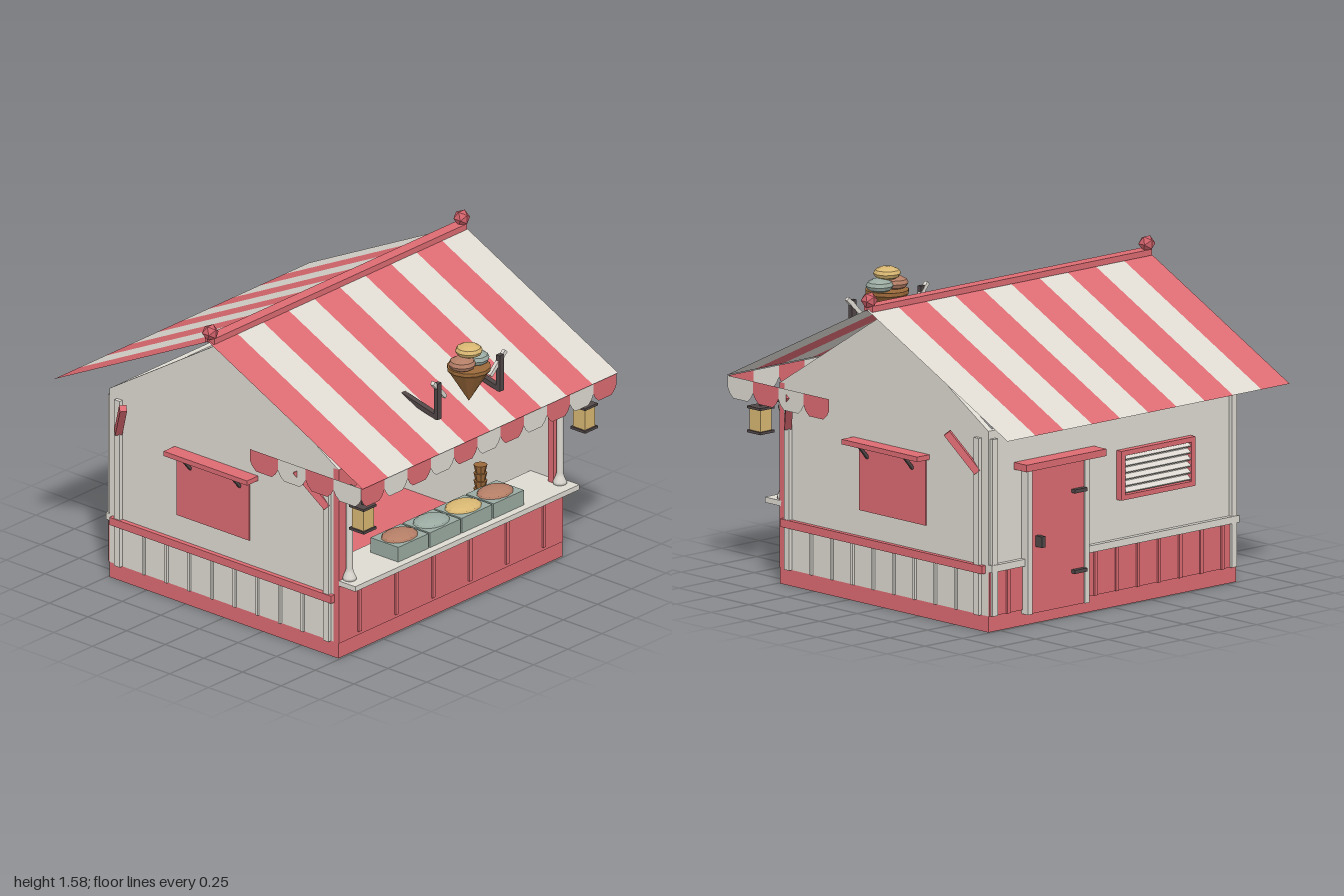
import * as THREE from 'three';

const mat = (name, color, extra = {}) => {
  const m = new THREE.MeshStandardMaterial({ color, ...extra });
  m.name = name;
  return m;
};

export function createModel() {
  const root = new THREE.Group();
  root.name = 'iceCreamStall';
  const flat = { flatShading: true };
  const red = mat('strawberryRed', 0xdc6b72, { side: THREE.DoubleSide });
  const cream = mat('cream', 0xdedad2, { side: THREE.DoubleSide });
  const wood = mat('shelfWood', 0xb07a42, flat);
  const waffle = mat('waffle', 0x9c6a3a, flat);
  const brown = mat('chocolate', 0xb47e66, flat);
  const mint = mat('mint', 0x9aaaa1, flat);
  const yellow = mat('vanilla', 0xd8b772, flat);
  const dark = mat('darkMetal', 0x514747, flat);

  const add = (name, geo, m, x = 0, y = 0, z = 0, parent = root) => {
    const mesh = new THREE.Mesh(geo, m);
    mesh.name = name;
    mesh.position.set(x, y, z);
    parent.add(mesh);
    return mesh;
  };
  // box given by its extents
  const box = (name, m, x0, x1, y0, y1, z0, z1) =>
    add(name, new THREE.BoxGeometry(x1 - x0, y1 - y0, z1 - z0), m, (x0 + x1) / 2, (y0 + y1) / 2, (z0 + z1) / 2);
  // the same box on both sides of x = 0
  const pair = (name, m, x0, x1, ...r) => {
    box(name, m, x0, x1, ...r);
    box(name, m, -x1, -x0, ...r);
  };
  // square bar between two points
  const bar = (name, m, a, b, w, d = w) => {
    const p = new THREE.Vector3(...a), q = new THREE.Vector3(...b);
    const mesh = add(name, new THREE.BoxGeometry(w, d, p.distanceTo(q)), m);
    mesh.position.copy(p).lerp(q, 0.5);
    mesh.lookAt(q);
    return mesh;
  };
  const lathe = (pts, n) => new THREE.LatheGeometry(pts.map(p => new THREE.Vector2(...p)), n);

  // floor and walls
  box('base', red, -0.82, 0.82, 0, 0.08, -0.74, 0.74);
  pair('sideWall', cream, 0.79, 0.82, 0.08, 1, -0.74, 0.71);
  box('backWall', cream, -0.79, 0.79, 0.08, 1, -0.74, -0.71);
  box('frontPanel', red, -0.82, 0.82, 0.08, 0.38, 0.71, 0.745);
  for (let i = -2.5; i <= 2.5; i++)
    box('frontBatten', red, i * 0.27 - 0.01, i * 0.27 + 0.01, 0.1, 0.37, 0.745, 0.755);

  // arched red frame around the serving hatch
  const frame = new THREE.Shape([[-0.82, 0.38], [0.82, 0.38], [0.82, 1], [-0.82, 1]].map(p => new THREE.Vector2(...p)));
  const hole = new THREE.Path();
  hole.moveTo(-0.75, 0.4);
  hole.lineTo(-0.75, 0.74);
  hole.quadraticCurveTo(-0.74, 0.93, -0.5, 0.96);
  hole.lineTo(0.5, 0.96);
  hole.quadraticCurveTo(0.74, 0.93, 0.75, 0.74);
  hole.lineTo(0.75, 0.4);
  frame.holes.push(hole);
  add('hatchFrame', new THREE.ExtrudeGeometry(frame, { depth: 0.035, bevelEnabled: false, curveSegments: 8 }), red, 0, 0, 0.71);

  // gable ends
  const gable = new THREE.Shape([[-0.74, 0], [0.74, 0], [0, 0.46]].map(p => new THREE.Vector2(...p)));
  for (const x of [-0.82, 0.79])
    add('gable', new THREE.ExtrudeGeometry(gable, { depth: 0.03, bevelEnabled: false }), cream, x, 1, 0).rotation.y = Math.PI / 2;

  // striped roof, front and back slopes
  const W = 0.935, stripe = W / 5, slopeLen = Math.hypot(1, 0.49);
  for (let i = 0; i < 10; i++)
    for (const s of [1, -1]) {
      const g = new THREE.PlaneGeometry(stripe, slopeLen);
      g.rotateX(-Math.PI / 2 + s * Math.atan(0.49));
      add('roofStripe', g, i % 2 ? cream : red, -W + (i + 0.5) * stripe, 1.255, s * 0.5);
    }
  box('ridge', red, -0.925, 0.925, 1.49, 1.52, -0.03, 0.03);
  const ballRed = mat('finialRed', 0xd0616a, flat);
  for (const x of [-0.92, 0.92])
    add('finial', new THREE.IcosahedronGeometry(0.042, 0), ballRed, x, 1.545, 0);

  // scalloped valance along the front and part of each side
  const scallop = w => new THREE.ShapeGeometry(new THREE.Shape([
    [-w / 2, 0], [-w / 2, -0.06], [-w * 0.42, -0.085], [-w * 0.28, -0.107], [w * 0.28, -0.107],
    [w * 0.42, -0.085], [w / 2, -0.06], [w / 2, 0]].map(p => new THREE.Vector2(...p))));
  for (let i = -5; i <= 5; i++)
    add('valance', scallop(0.17), i % 2 ? red : cream, i * 0.17, 1.01, 0.99).material = i % 2 ? red : cream;
  root.children.filter(c => c.name === 'valance').forEach((c, i) => { c.material = i % 2 ? cream : red; });
  for (const s of [1, -1])
    for (let i = 0; i < 4; i++)
      add('sideValance', scallop(0.18), i % 2 ? red : cream, s * W, 1.01, 0.9 - i * 0.18).rotation.y = s * Math.PI / 2;

  for (const s of [1, -1]) {
    // side panelling
    const side = (name, m, d, ...r) => s > 0 ? box(name, m, 0.82, 0.82 + d, ...r) : box(name, m, -0.82 - d, -0.82, ...r);
    side('sideRail', red, 0.025, 0.29, 0.33, -0.72, 0.715);
    for (let i = -3.5; i <= 3.5; i++) side('sideBatten', cream, 0.012, 0.08, 0.29, i * 0.147 - 0.007, i * 0.147 + 0.007);
    for (const z of [-0.675, 0.675]) {
      side('cornerPost', cream, 0.02, 0.08, z < 0 ? 0.96 : 0.93, z - 0.018, z + 0.018);
      bar('eaveBrace', red, [s * 0.83, 0.79, z], [s * 0.925, 0.98, Math.sign(z) * 0.56], 0.035);
    }
    // side window with its hood
    side('sideShutter', red, 0.008, 0.46, 0.79, -0.3, 0.17);
    side('windowHood', red, 0.08, 0.79, 0.815, -0.32, 0.22);
    for (const z of [0.11, -0.21])
      bar('hoodBracket', dark, [s * 0.828, 0.73, z], [s * 0.88, 0.79, z], 0.014);

    // turned column on the counter
    add('column', lathe([[0, 0.41], [0.034, 0.41], [0.034, 0.425], [0.022, 0.45], [0.017, 0.47], [0.017, 0.83],
      [0.028, 0.86], [0.03, 0.9], [0, 0.9]], 10), cream, s * 0.77, 0, 0.768);

    // hanging lantern
    bar('lanternArm', dark, [s * 0.81, 0.905, 0.745], [s * 0.81, 0.905, 0.9], 0.014);
    bar('lanternHanger', dark, [s * 0.81, 0.855, 0.89], [s * 0.81, 0.905, 0.89], 0.01);
    const lx = s * 0.81;
    box('lanternGlass', yellow, lx - 0.038, lx + 0.038, 0.738, 0.845, 0.852, 0.928);
    box('lanternBase', dark, lx - 0.047, lx + 0.047, 0.725, 0.738, 0.843, 0.937);
    box('lanternCap', dark, lx - 0.047, lx + 0.047, 0.845, 0.857, 0.843, 0.937);

    // sign supports
    box('signPost', dark, s * 0.228 - 0.015, s * 0.228 + 0.015, 1.11, 1.3, 0.848, 0.872);
    bar('signArm', dark, [s * 0.228, 1.12, 0.865], [s * 0.228, 1.2, 0.535], 0.03, 0.025);
    bar('signStay', cream, [s * 0.265, 1.31, 0.86], [s * 0.165, 1.205, 0.85], 0.02);
  }

  // serving counter
  box('counter', cream, -0.82, 0.82, 0.385, 0.412, 0.56, 0.85);

  // ice cream tubs
  [brown, mint, yellow, brown].forEach((m, i) => {
    const x = (i - 1.5) * 0.233;
    box('tub', mint, x - 0.111, x + 0.111, 0.412, 0.49, 0.63, 0.81);
    add('tubFilling', new THREE.SphereGeometry(1, 12, 4, 0, Math.PI * 2, 0, Math.PI / 2), m, x, 0.488, 0.72).scale.set(0.105, 0.03, 0.08);
  });
  // stacked cones behind the tubs
  for (let i = 0; i < 4; i++)
    add('coneStack', new THREE.CylinderGeometry(0.034, 0.022, 0.05, 8), waffle, 0.39, 0.437 + i * 0.041, 0.59);

  // shelves with jars
  [[0.575, 0.085], [0.772, 0.13]].forEach(([y, h]) => {
    box('shelf', wood, -0.725, 0.725, y, y + 0.018, -0.71, -0.55);
    [brown, mint, brown, brown, mint, brown].forEach((m, i) => {
      const g = lathe([[0, 0], [0.042, 0], [0.046, h * 0.1], [0.046, h * 0.72], [0.036, h * 0.8], [0.036, h], [0, h]], 8);
      add('jar', g, m, (i - 2.5) * 0.2, y + 0.018, -0.63);
    });
  });

  // ice cream sign
  add('signCone', lathe([[0, 1.13], [0.095, 1.285], [0.108, 1.3], [0.108, 1.318], [0, 1.318]], 12), waffle, 0, 0, 0.86);
  const scoop = (m, x, y, z, r, h) =>
    add('scoop', new THREE.SphereGeometry(1, 10, 6), m, x, y, z).scale.set(r, h, r);
  scoop(brown, -0.05, 1.343, 0.86, 0.068, 0.036);
  scoop(mint, 0.05, 1.343, 0.86, 0.068, 0.036);
  scoop(yellow, 0, 1.398, 0.86, 0.068, 0.034);

  // back panelling
  const runs = [[-0.82, 0.19], [0.6, 0.82]];
  for (const [a, b] of runs) {
    box('backPanel', red, a, b, 0.08, 0.3, -0.748, -0.74);
    box('backRail', cream, a, b, 0.3, 0.335, -0.765, -0.74);
  }
  for (const x of [-0.72, -0.58, -0.44, -0.3, -0.16, -0.02, 0.12, 0.7])
    box('backBatten', red, x - 0.009, x + 0.009, 0.08, 0.3, -0.758, -0.748);
  pair('backCornerPost', cream, 0.775, 0.81, 0.08, 0.96, -0.76, -0.74);

  // back door
  box('door', red, 0.22, 0.57, 0.06, 0.77, -0.775, -0.74);
  for (const x of [0.19, 0.57]) box('doorJamb', cream, x, x + 0.03, 0.06, 0.785, -0.785, -0.74);
  box('doorHood', red, 0.12, 0.65, 0.785, 0.82, -0.83, -0.74);
  box('doorHandle', dark, 0.515, 0.54, 0.39, 0.445, -0.82, -0.775);
  for (const y of [0.23, 0.63]) box('doorHinge', dark, 0.22, 0.3, y - 0.009, y + 0.009, -0.8, -0.775);

  // louvred vent
  for (const y of [0.53, 0.75]) box('ventFrame', red, -0.52, -0.03, y, y + 0.025, -0.775, -0.74);
  for (const x of [-0.52, -0.055]) box('ventFrame', red, x, x + 0.025, 0.53, 0.775, -0.775, -0.74);
  for (let i = 0; i < 6; i++) {
    const y = 0.572 + i * 0.033;
    add('louvre', new THREE.BoxGeometry(0.44, 0.008, 0.03), cream, -0.275, y, -0.755).rotation.x = -0.6;
  }
  return root;
}
